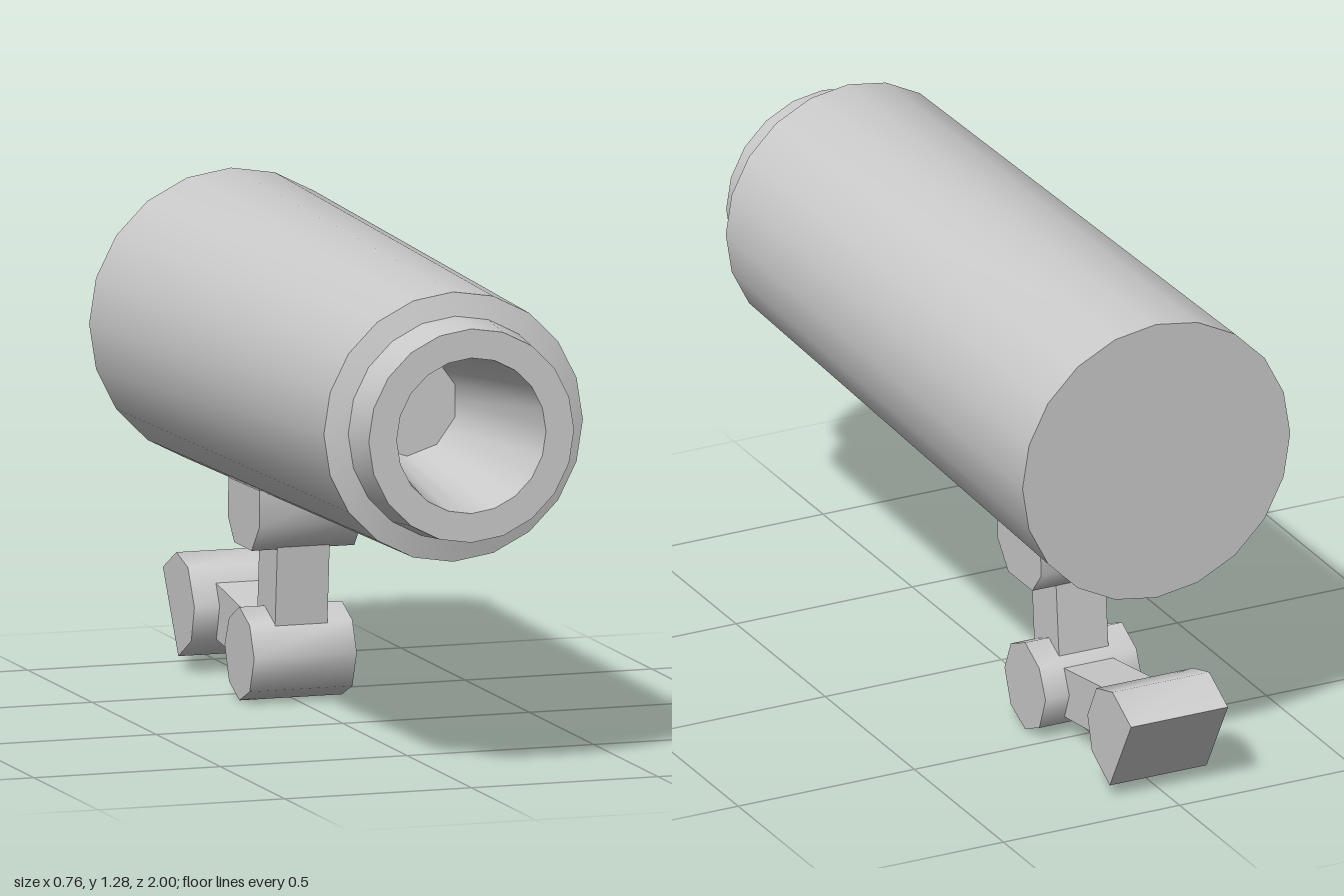
import * as THREE from 'three';
import { toCreasedNormals } from 'three/addons/utils/BufferGeometryUtils.js';

const material = new THREE.MeshStandardMaterial({ color: 0xcccccc });
const CREASE = 0.95;

// Side outline given as [z, y] corners, extruded across x and centred.
function sidePart(name, outline, width) {
  const shape = new THREE.Shape(outline.map(([z, y]) => new THREE.Vector2(-z, y)));
  const geometry = new THREE.ExtrudeGeometry(shape, { depth: width, bevelEnabled: false });
  geometry.translate(0, 0, -width / 2).rotateY(Math.PI / 2);
  const mesh = new THREE.Mesh(toCreasedNormals(geometry, CREASE), material);
  mesh.name = name;
  return mesh;
}

// Tapered housing with stepped collar and a narrowing bore, as [radius, z].
function housing() {
  const sides = 20;
  const profile = [
    [0, -0.87], [0.38, -0.87], [0.347, 0.86], [0.287, 0.875],
    [0.275, 1], [0.2, 1], [0.135, 0.5], [0, 0.5],
  ].map(([r, z]) => new THREE.Vector2(r, z));
  const geometry = new THREE.LatheGeometry(profile, sides);

  // The bore ends in a ten-sided floor: pull every second corner onto the chord.
  const pos = geometry.attributes.position;
  const k = Math.cos(Math.PI / 10);
  for (let i = 1; i < sides; i += 2) {
    const v = i * profile.length + 6;
    pos.setXYZ(v, pos.getX(v) * k, pos.getY(v), pos.getZ(v) * k);
  }
  geometry.rotateX(Math.PI / 2);
  const mesh = new THREE.Mesh(toCreasedNormals(geometry, CREASE), material);
  mesh.name = 'housing';
  mesh.position.y = 0.905;
  return mesh;
}

export function createModel() {
  const model = new THREE.Group();
  model.name = 'camera';
  const wide = 0.275, slim = 0.14;

  model.add(
    housing(),
    // Bracket under the housing
    sidePart('bracket', [[-0.25, 0.565], [-0.25, 0.47], [-0.31, 0.4], [-0.445, 0.4], [-0.495, 0.46], [-0.49, 0.56]], wide),
    // Two arms meeting at the elbow
    sidePart('upperArm', [[-0.305, 0.41], [-0.325, 0.18], [-0.465, 0.18], [-0.445, 0.41]], slim),
    sidePart('lowerArm', [[-0.45, 0.183], [-0.79, 0.236], [-0.79, 0.092], [-0.45, 0.05]], slim),
    sidePart('elbow', [
      [-0.405, 0.24], [-0.485, 0.2], [-0.52, 0.125], [-0.485, 0.035],
      [-0.405, 0], [-0.325, 0.035], [-0.29, 0.125], [-0.325, 0.205],
    ], wide),
    // Wall mount with a slanted flat back
    sidePart('wallMount', [[-0.755, 0.18], [-0.805, 0.275], [-0.895, 0.3], [-1, 0.245], [-0.88, 0.035], [-0.78, 0.09]], wide),
  );
  return model;
}
